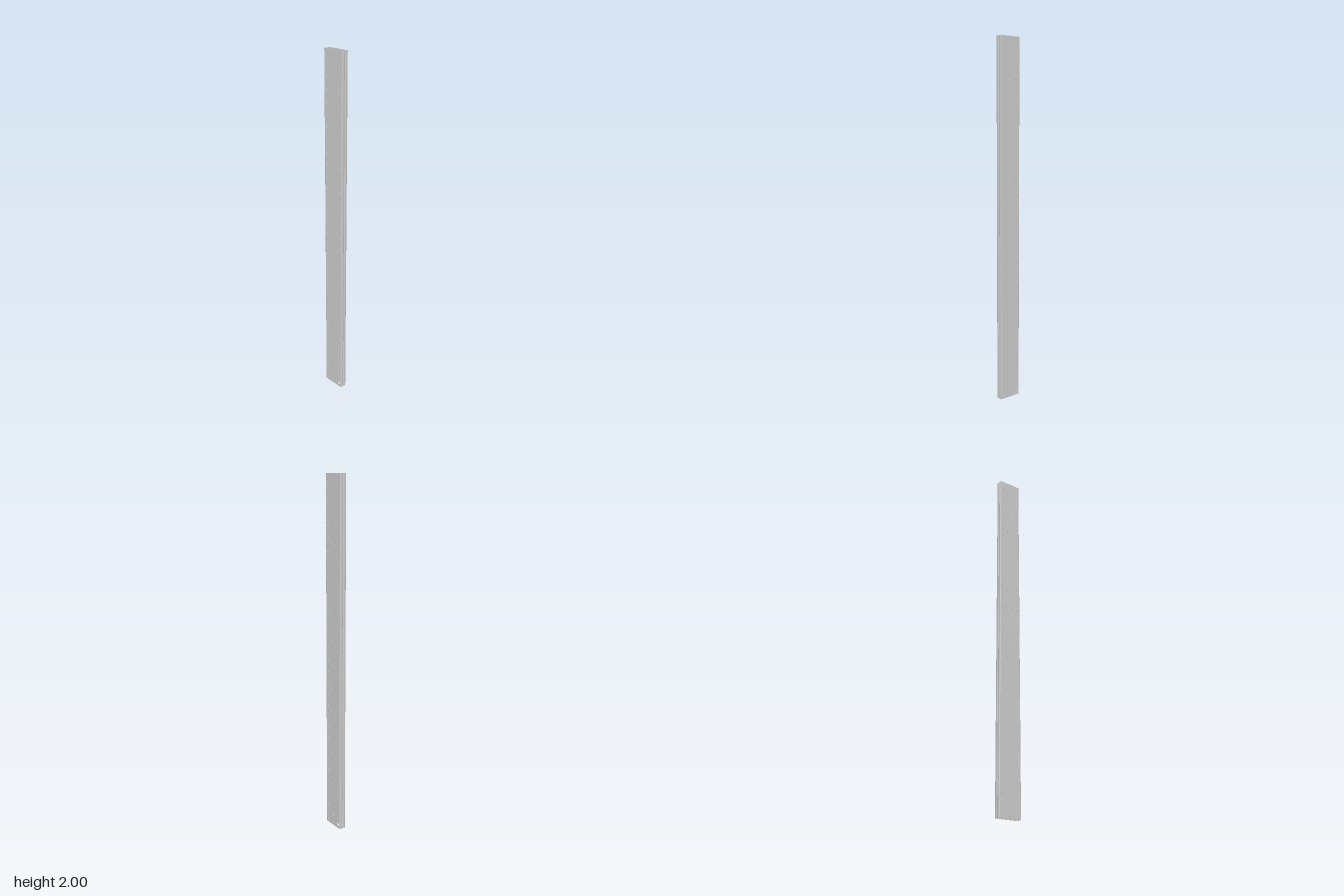
import * as THREE from 'three';
import { toCreasedNormals } from 'three/addons/utils/BufferGeometryUtils.js';

const H = 2;         // post height
const X = 0.0188;    // half width
const Z = 0.066;     // half depth
const T = 0.0016;    // sheet thickness
const R = 0.004;     // outer bend radius
const GAP = 0.0002;  // half of the seam between the two channels
const LIP = 0.057;   // where the inward lips end

const material = new THREE.MeshStandardMaterial({ color: 0xcccccc });

// Flat perforated side of a channel
function webGeometry() {
  const w = Z - R;
  const shape = new THREE.Shape();
  shape.moveTo(-w, 0).lineTo(w, 0).lineTo(w, H).lineTo(-w, H).closePath();
  const hole = (z, y, r) => shape.holes.push(new THREE.Path().absarc(z, y, r, 0, Math.PI * 2, true));
  const pair = (z, y, r) => [-z, z].forEach((p) => hole(p, y, r));

  // Edge holes, with two extra pairs near the foot
  pair(0.048, 0.024, 0.0075);
  pair(0.048, 0.115, 0.0075);
  for (let i = 0; i < 26; i++) pair(0.048, 0.268 + i * 0.0668, 0.0075);
  // Smaller holes along the middle
  for (let i = 0; i < 13; i++) pair(0.0175, 0.307 + i * 0.1338, 0.005);
  hole(0, 0.067, 0.006);

  const g = new THREE.ExtrudeGeometry(shape, { depth: T, bevelEnabled: false, curveSegments: 8 });
  g.rotateY(Math.PI / 2).translate(X - T, 0, 0);
  return toCreasedNormals(g, 0.6);
}

// Bent edge of a channel: corner, flange, second bend and inward lip
function flangeGeometry(side) {
  const c = Z - R, r = R - T, q = Math.PI / 2;
  const s = new THREE.Shape();
  s.moveTo(X, c);
  s.absarc(X - R, c, R, 0, q, false);
  s.absarc(GAP + R, c, R, q, Math.PI, false);
  s.lineTo(GAP, LIP).lineTo(GAP + T, LIP);
  s.absarc(GAP + R, c, r, Math.PI, q, true);
  s.absarc(X - R, c, r, q, 0, true);
  s.closePath();
  const section = new THREE.Shape(s.getPoints(6).map((p) => new THREE.Vector2(p.x, side * p.y)));
  const g = new THREE.ExtrudeGeometry(section, { depth: H, bevelEnabled: false });
  g.rotateX(-Math.PI / 2);
  return toCreasedNormals(g, 0.6);
}

function part(name, geometry) {
  const mesh = new THREE.Mesh(geometry, material);
  mesh.name = name;
  return mesh;
}

export function createModel() {
  const model = new THREE.Group();
  model.name = 'perforatedPost';
  const web = webGeometry(), front = flangeGeometry(-1), back = flangeGeometry(1);

  // Two lipped channels, lips facing each other
  ['leftChannel', 'rightChannel'].forEach((name, i) => {
    const channel = new THREE.Group();
    channel.name = name;
    channel.add(
      part('perforatedWeb', web),
      part(i ? 'backFlange' : 'frontFlange', front),
      part(i ? 'frontFlange' : 'backFlange', back)
    );
    channel.rotation.y = i * Math.PI;
    model.add(channel);
  });
  return model;
}
